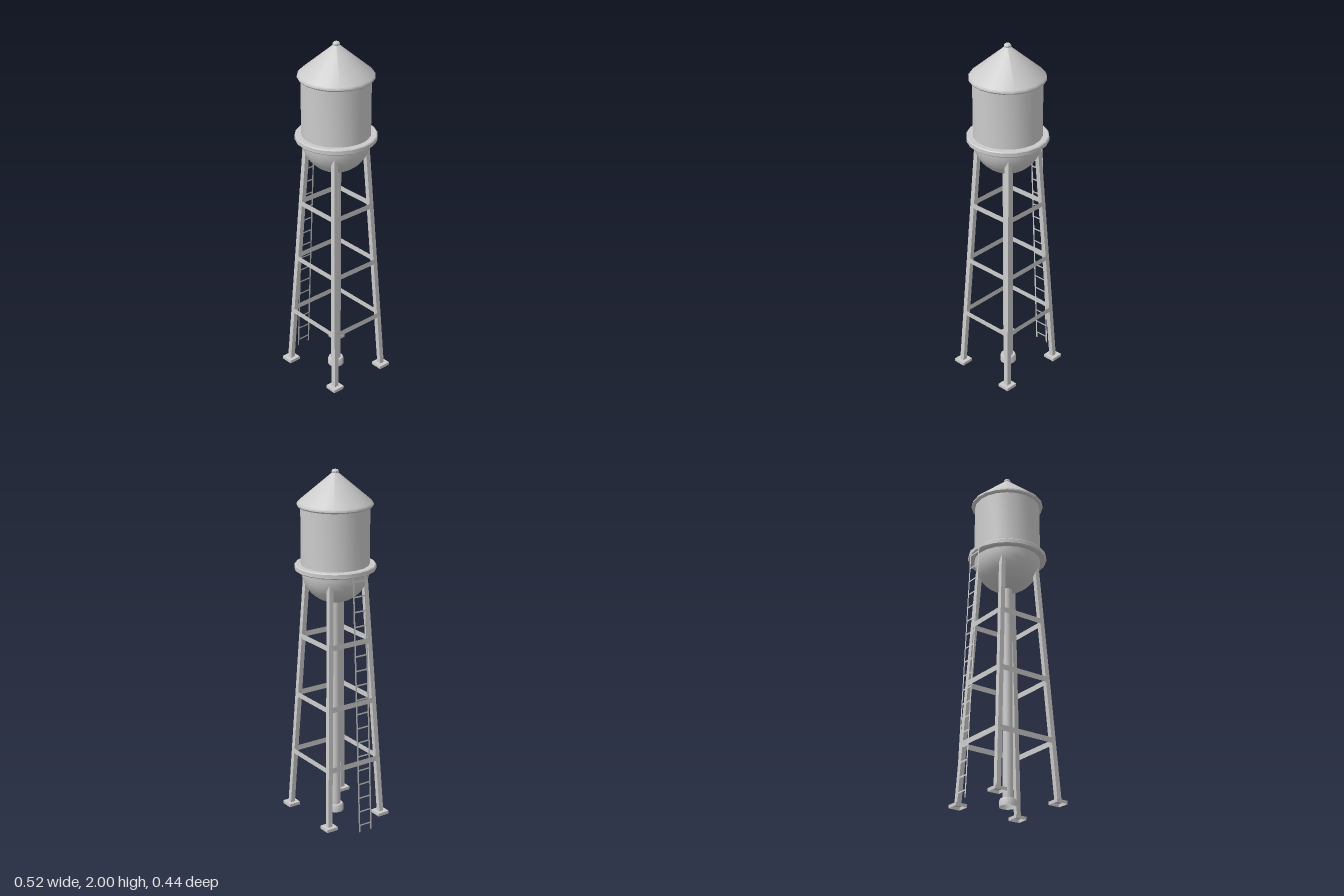
import * as THREE from 'three';
import { toCreasedNormals } from 'three/addons/utils/BufferGeometryUtils.js';

const grey = new THREE.MeshStandardMaterial({ color: 0xcccccc, side: THREE.DoubleSide });

function add(parent, name, geometry, x = 0, y = 0, z = 0) {
  const mesh = new THREE.Mesh(geometry, grey);
  mesh.name = name;
  mesh.position.set(x, y, z);
  parent.add(mesh);
  return mesh;
}

// Turned part from [radius, height] pairs listed bottom to top
function turned(points, sides = 20) {
  const profile = points.map(([r, y]) => new THREE.Vector2(r, y));
  return toCreasedNormals(new THREE.LatheGeometry(profile, sides), 0.6);
}

// Leg centre offset from the tower axis at a given height
const LEG_BASE = 0.03, LEG_TOP = 1.42, LEG_HALF = 0.0135;
function legCentre(y) {
  const t = (y - LEG_BASE) / (LEG_TOP - LEG_BASE);
  return [THREE.MathUtils.lerp(0.194, 0.114, t), THREE.MathUtils.lerp(0.177, 0.112, t)];
}

// Square post that leans inwards, its ends kept level
function legGeometry(sx, sz) {
  const geo = new THREE.BoxGeometry(LEG_HALF * 2, LEG_TOP - LEG_BASE, LEG_HALF * 2);
  geo.translate(0, (LEG_TOP + LEG_BASE) / 2, 0);
  const p = geo.attributes.position;
  for (let i = 0; i < p.count; i++) {
    const [cx, cz] = legCentre(p.getY(i));
    p.setX(i, p.getX(i) + sx * cx);
    p.setZ(i, p.getZ(i) + sz * cz);
  }
  return toCreasedNormals(geo, 0.5);
}

export function createModel() {
  const root = new THREE.Group();
  root.name = 'waterTower';
  const tower = new THREE.Group();
  tower.name = 'tower';
  tower.position.set(0.033, 0, -0.002);
  root.add(tower);

  // Tank with a round bottom
  const R = 0.187, seam = 1.46;
  const bowl = [];
  for (let i = 0; i <= 10; i++) {
    const a = (i / 10) * Math.PI / 2;
    bowl.push([R * Math.sin(a), seam - R * Math.cos(a)]);
  }
  add(tower, 'tankBowl', turned(bowl));
  add(tower, 'tankWall', turned([[R, seam], [R, 1.81]]));

  // Walkway ring around the seam
  add(tower, 'walkwayRing', turned([
    [R, 1.457], [0.217, 1.457], [0.222, 1.462], [0.222, 1.483], [0.217, 1.488], [R, 1.488],
  ]));

  // Conical roof with a rounded eave, and its cap
  add(tower, 'roof', turned([
    [R, 1.804], [0.199, 1.804], [0.206, 1.812], [0.206, 1.819], [0.2, 1.828], [0.014, 1.986],
  ]));
  add(tower, 'roofCap', turned([
    [0.014, 1.98], [0.019, 1.985], [0.019, 1.993], [0.014, 2], [0, 2],
  ], 16));

  // Central pipe and its foot
  add(tower, 'centralPipe', turned([[0.028, 0.03], [0.028, 1.3]], 16));
  add(tower, 'pipeFoot', turned([
    [0.046, 0.012], [0.046, 0.043], [0.041, 0.055], [0.028, 0.055],
  ], 16));

  // Four leaning legs on hollow square pads
  for (const sx of [-1, 1]) {
    for (const sz of [-1, 1]) {
      add(tower, 'leg', legGeometry(sx, sz));
      const pad = turned([[0.035 * Math.SQRT2, 0.017], [0.035 * Math.SQRT2, 0.035], [0, 0.035]], 4);
      add(tower, 'footPad', pad.rotateY(Math.PI / 4), sx * 0.194, 0, sz * 0.177);
    }
  }

  // Flat braces across the outer faces of the legs
  for (const y of [0.365, 0.715, 1.064]) {
    const [cx, cz] = legCentre(y);
    for (const s of [-1, 1]) {
      const across = add(tower, 'crossBrace', new THREE.PlaneGeometry(cx * 2, 0.031), 0, y, s * (cz + LEG_HALF));
      across.rotation.y = s > 0 ? 0 : Math.PI;
      const side = add(tower, 'sideBrace', new THREE.PlaneGeometry(cz * 2, 0.031), s * (cx + LEG_HALF), y, 0);
      side.rotation.y = s * Math.PI / 2;
    }
  }

  // Ladder of flat strips leaning against the walkway
  const ladder = new THREE.Group();
  ladder.name = 'ladder';
  ladder.position.set(-0.262, 0, -0.002);
  ladder.rotation.z = -Math.atan2(0.072, 1.48);
  root.add(ladder);
  const length = 1.482, rungs = 18;
  const strip = (w, h) => new THREE.PlaneGeometry(w, h).rotateY(-Math.PI / 2);
  for (const s of [-1, 1]) add(ladder, 'ladderRail', strip(0.01, length), 0, length / 2, s * 0.039);
  for (let i = 0; i < rungs; i++) {
    add(ladder, 'ladderRung', strip(0.07, 0.009), 0, (i + 0.5) * length / rungs, 0);
  }
  return root;
}
